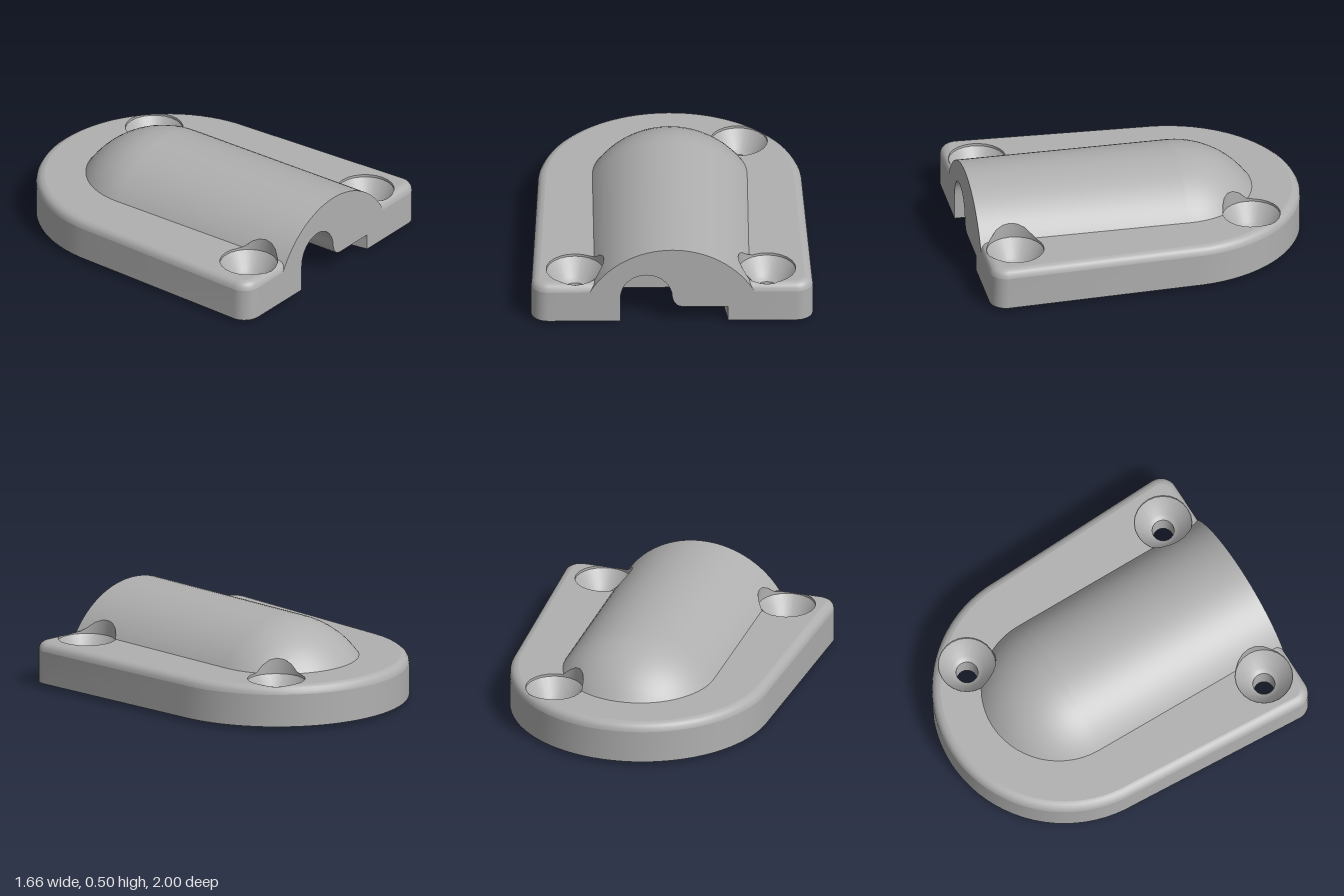
import * as THREE from 'three';
import { toCreasedNormals } from 'three/addons/utils/BufferGeometryUtils.js';

const BASE = 0.02, TOP = 0.265, FILLET = 0.05;      // plate heights and edge rounding
const R = 0.554, DOME_Y = -0.05, DOME_Z = -0.26;    // hood radius, axis height, start of round end
const SINK = 0.17, SIDES = 24;                      // countersink radius
const screws = [[-0.57, 0.81], [0.56, 0.81], [0.41, -0.64]];
const rad = THREE.MathUtils.degToRad;

// Plan arc in (x, z); rings run with falling angle
function arc(cx, cz, r, from, to, n) {
  return Array.from({ length: n + 1 }, (_, i) => {
    const a = rad(from + (to - from) * i / n);
    return new THREE.Vector2(cx + r * Math.cos(a), cz + r * Math.sin(a));
  });
}
const circle = (cx, cz, r) => arc(cx, cz, r, 0, -360, SIDES).slice(0, -1);
const lift = (pts, y) => pts.map(p => new THREE.Vector3(p.x, y, p.y));

// Plate outline, drawn in by an inset
function outline(inset) {
  return [
    ...arc(0.73, 0.9, 0.1 - inset, 90, 0, 8),
    ...arc(0, -0.22, 0.78 - inset, 0, -180, 40),
    ...arc(-0.73, 0.9, 0.1 - inset, 180, 90, 8),
  ];
}

// Triangles joining successive rows of points
function loft(rows, closed = true) {
  const tris = [];
  for (let k = 0; k + 1 < rows.length; k++) {
    const a = rows[k], b = rows[k + 1];
    for (let i = 0; i < a.length - (closed ? 0 : 1); i++) {
      const j = (i + 1) % a.length;
      tris.push([a[i], a[j], b[j]], [a[i], b[j], b[i]]);
    }
  }
  return tris;
}

// Flat face from a contour with holes; place() sets it in space, facing dir
function face(contour, holes, place, dir) {
  const pts = [contour, ...holes].flat().map(place);
  const n = new THREE.Vector3();
  return THREE.ShapeUtils.triangulateShape(contour, holes).map(([a, b, c]) => {
    const t = [pts[a], pts[b], pts[c]];
    new THREE.Triangle(...t).getNormal(n);
    return n.dot(dir) < 0 ? t.reverse() : t;
  });
}
const level = y => p => new THREE.Vector3(p.x, y, p.y);
const upright = z => p => new THREE.Vector3(p.x, p.y, z);
const UP = new THREE.Vector3(0, 1, 0), DOWN = new THREE.Vector3(0, -1, 0);
const FRONT = new THREE.Vector3(0, 0, 1);

// Remove everything inside a convex vertical prism
function cut(tris, prism) {
  return tris.flatMap(tri => {
    let inside = tri;
    const kept = [];
    for (let e = 0; e < prism.length; e++) {
      const p = prism[e], q = prism[(e + 1) % prism.length];
      const side = v => (q.x - p.x) * (v.z - p.y) - (q.y - p.y) * (v.x - p.x);
      const inn = [], out = [];
      inside.forEach((v, i) => {
        const w = inside[(i + 1) % inside.length], s = side(v), t = side(w);
        (s < 0 ? inn : out).push(v);
        if ((s < 0) !== (t < 0)) {
          const m = v.clone().lerp(w, s / (s - t));
          inn.push(m);
          out.push(m);
        }
      });
      if (inn.length < 3) return [tri];
      for (let i = 1; i + 1 < out.length; i++) kept.push([out[0], out[i], out[i + 1]]);
      inside = inn;
    }
    return kept;
  });
}
const drill = tris => screws.reduce((t, [x, z]) => cut(t, circle(x, z, SINK)), tris);

// Height of the upper surface at a countersink rim
function surfaceY(x, z) {
  const edge = Math.min(1 - z, z < -0.22 ? 0.78 - Math.hypot(x, z + 0.22) : 1);
  const d = Math.max(0, FILLET - edge);
  const plate = TOP - FILLET + Math.sqrt(Math.max(0, FILLET ** 2 - d ** 2));
  const back = Math.min(0, z - DOME_Z);
  return Math.max(plate, DOME_Y + Math.sqrt(Math.max(0, R * R - x * x - back * back)));
}

export function createModel() {
  const group = new THREE.Group();
  const grey = new THREE.MeshStandardMaterial({ color: 0xb0b0b0, side: THREE.DoubleSide });
  grey.name = 'grey';
  function add(name, tris) {
    const geo = new THREE.BufferGeometry().setFromPoints(tris.flat());
    const mesh = new THREE.Mesh(toCreasedNormals(geo, 0.5), grey);
    mesh.name = name;
    group.add(mesh);
  }

  // Plate: side wall, rounded rim and top, opened under the hood
  const footprint = [
    new THREE.Vector2(-0.456, 1.1), new THREE.Vector2(0.456, 1.1),
    ...arc(0, DOME_Z, 0.456, 0, -180, 28),
  ];
  const rim = [0, 22.5, 45, 67.5, 90].map(a => lift(
    outline(FILLET * (1 - Math.cos(rad(a)))), TOP - FILLET + FILLET * Math.sin(rad(a))));
  add('plateWall', cut(loft([lift(outline(0), BASE), rim[0]]), footprint));
  add('plateRim', drill(cut(loft(rim), footprint)));
  add('plateTop', drill(cut(face(outline(FILLET), [], level(TOP), UP), footprint)));

  // Hood: half-round barrel with a spherical back end
  const steps = Array.from({ length: 33 }, (_, i) => rad(-62.2 + 124.4 * i / 32));
  const section = (tilt, z) => steps.map(a => new THREE.Vector3(
    R * Math.sin(a), DOME_Y + R * Math.cos(a) * Math.cos(tilt), z - R * Math.cos(a) * Math.sin(tilt)));
  add('hoodBarrel', drill(loft([section(0, 1), section(0, DOME_Z)], false)));
  const tilts = Array.from({ length: 11 }, (_, i) => rad(5.6 * i));
  add('hoodEnd', drill(loft(tilts.map(t => section(t, DOME_Z)), false)));

  // Cable mouth: an arch beside a low shelf, narrowing inward
  const mouth = (x) => [
    new THREE.Vector2(-0.305, BASE),
    ...arc(-0.152, 0.18, 0.153, 180, 0, 16),
    new THREE.Vector2(0.01, 0.15), new THREE.Vector2(0.03, 0.125), new THREE.Vector2(0.06, 0.115),
    new THREE.Vector2(x, 0.115), new THREE.Vector2(x, BASE),
  ];
  const mouthEnd = 0.62, wide = 0.33, narrow = 0.275;
  add('cableMouth', loft([
    mouth(narrow).map(upright(mouthEnd)), mouth(wide).map(upright(1))], false));
  add('cableMouthEnd', face(mouth(narrow), [], upright(mouthEnd), FRONT));
  const arch = section(0, 1).map(p => new THREE.Vector2(p.x, p.y));
  add('frontFace', face([
    new THREE.Vector2(-0.49, BASE), ...arch, new THREE.Vector2(0.49, BASE), ...mouth(wide).reverse(),
  ], [], upright(1), FRONT));

  // Underside pockets
  const bend = [
    [-0.3, 0.2], [-0.2, 0.16], [-0.08, 0.06], [0.05, 0.12], [0.2, 0.12], [0.31, 0.05],
    [0.24, -0.21], [0.13, -0.34], [0.03, -0.5], [-0.05, -0.6], [-0.15, -0.64],
    [-0.26, -0.6], [-0.305, -0.5], [-0.305, -0.1],
  ].map(([x, z]) => new THREE.Vector3(x, 0, z));
  const bendPlan = new THREE.CatmullRomCurve3(bend, true).getPoints(56).slice(0, -1)
    .map(p => new THREE.Vector2(p.x, p.z));
  const pockets = { bendPocket: bendPlan, roundPocket: circle(0, 0.36, 0.2) };
  for (const [name, plan] of Object.entries(pockets)) {
    add(name + 'Wall', loft([lift(plan, 0.27), lift(plan, BASE)]));
    add(name + 'Ceiling', face(plan, [], level(0.27), DOWN));
  }

  // Underside
  const notch = [[-0.305, 1], [-0.305, mouthEnd], [narrow, mouthEnd], [wide, 1]]
    .map(([x, z]) => new THREE.Vector2(x, z));
  add('underside', face([...outline(0), ...notch],
    [...Object.values(pockets), ...screws.map(([x, z]) => circle(x, z, 0.08))], level(BASE), DOWN));

  // Countersunk screw holes with short collars below
  for (const [x, z] of screws) {
    const lip = circle(x, z, SINK).map(p => new THREE.Vector3(p.x, surfaceY(p.x, p.y), p.y));
    const profile = [[SINK, 0.25], [0.095, 0.15], [0.08, 0.14], [0.065, 0.13], [0.06, 0], [0.067, 0], [0.08, BASE]];
    add('screwHole', loft([lip, ...profile.map(([r, y]) => lift(circle(x, z, r), y))]));
  }
  return group;
}
